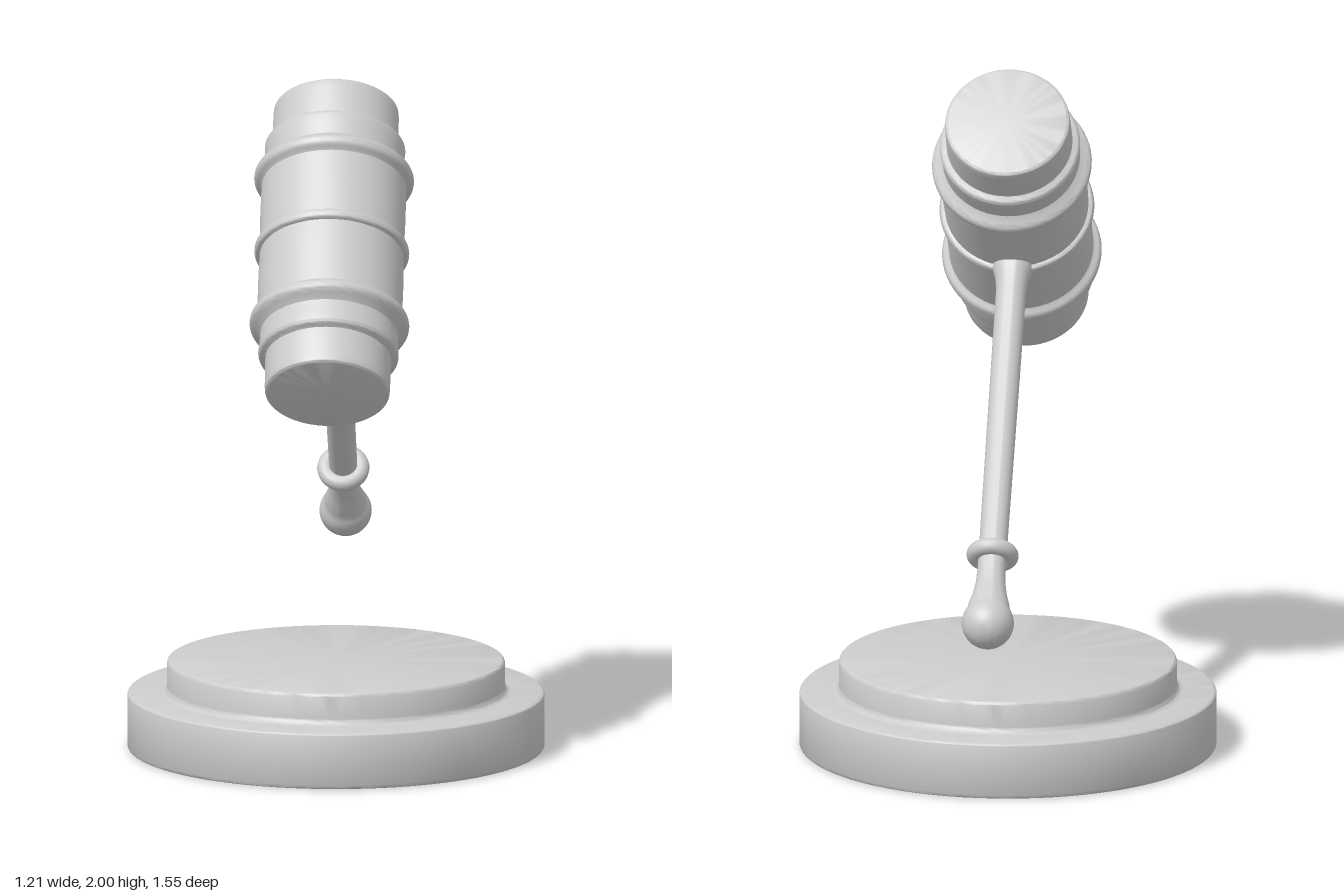
import * as THREE from 'three';
import { toCreasedNormals } from 'three/addons/utils/BufferGeometryUtils.js';

const material = new THREE.MeshStandardMaterial({ color: 0xcccccc });
material.name = 'light grey';

// Turned part from [radius, height] pairs, listed bottom to top
function turned(name, profile, segments = 64) {
  const points = profile.map(([r, y]) => new THREE.Vector2(r, y));
  const geometry = toCreasedNormals(new THREE.LatheGeometry(points, segments), 0.7);
  const mesh = new THREE.Mesh(geometry, material);
  mesh.name = name;
  return mesh;
}

// Points of an arc in a profile, angles in units of PI
function arc(r, y, radius, from, to, steps = 5) {
  return Array.from({ length: steps + 1 }, (_, i) => {
    const a = Math.PI * (from + (to - from) * i / steps);
    return [r + radius * Math.cos(a), y + radius * Math.sin(a)];
  });
}

export function createModel() {
  const model = new THREE.Group();
  model.name = 'gavelAndBlock';

  // Round two-step sounding block with softened edges
  model.add(turned('soundingBlock', [
    [0, 0],
    ...arc(0.595, 0.01, 0.01, -0.5, 0),
    ...arc(0.595, 0.155, 0.01, 0, 0.5),
    ...arc(0.51, 0.185, 0.02, 1.5, 1),
    ...arc(0.48, 0.25, 0.01, 0, 0.5),
    [0, 0.26],
  ], 96));

  // Tilted gavel: head along local y, handle along local -z
  const gavel = new THREE.Group();
  gavel.name = 'gavel';
  gavel.position.set(0, 1.53, 0.31);
  gavel.rotation.x = -0.767;
  model.add(gavel);

  // Upper half of the head, mirrored to make the lower half
  const upper = [
    ...arc(0.209, 0, 0.016, 0, 0.5),
    [0.211, 0.12], [0.21, 0.22],
    ...arc(0.209, 0.248, 0.023, -0.4, 0.4, 8),
    [0.2, 0.285], [0.201, 0.32],
    ...arc(0.189, 0.35, 0.015, 0, 0.5),
    [0.183, 0.369], [0.182, 0.46],
    ...arc(0.171, 0.475, 0.01, 0, 0.5),
    [0, 0.485],
  ];
  const lower = upper.slice(1).reverse().map(([r, y]) => [r, -y]);
  gavel.add(turned('head', [...lower, ...upper]));

  // Handle with a flare at the head, a collar and a round knob
  const handle = turned('handle', [
    [0.06, 0.18], [0.057, 0.215], [0.049, 0.24], [0.044, 0.28],
    [0.043, 0.6], [0.041, 1.15], [0.041, 1.22], [0.043, 1.27], [0.05, 1.31], [0.06, 1.345],
    ...arc(0, 1.405, 0.076, -0.2, 0.5, 14),
  ], 40);
  handle.rotation.x = -Math.PI / 2;
  gavel.add(handle);

  const collar = new THREE.Mesh(new THREE.TorusGeometry(0.052, 0.024, 16, 40), material);
  collar.name = 'handleCollar';
  collar.position.z = -1.175;
  gavel.add(collar);

  return model;
}
